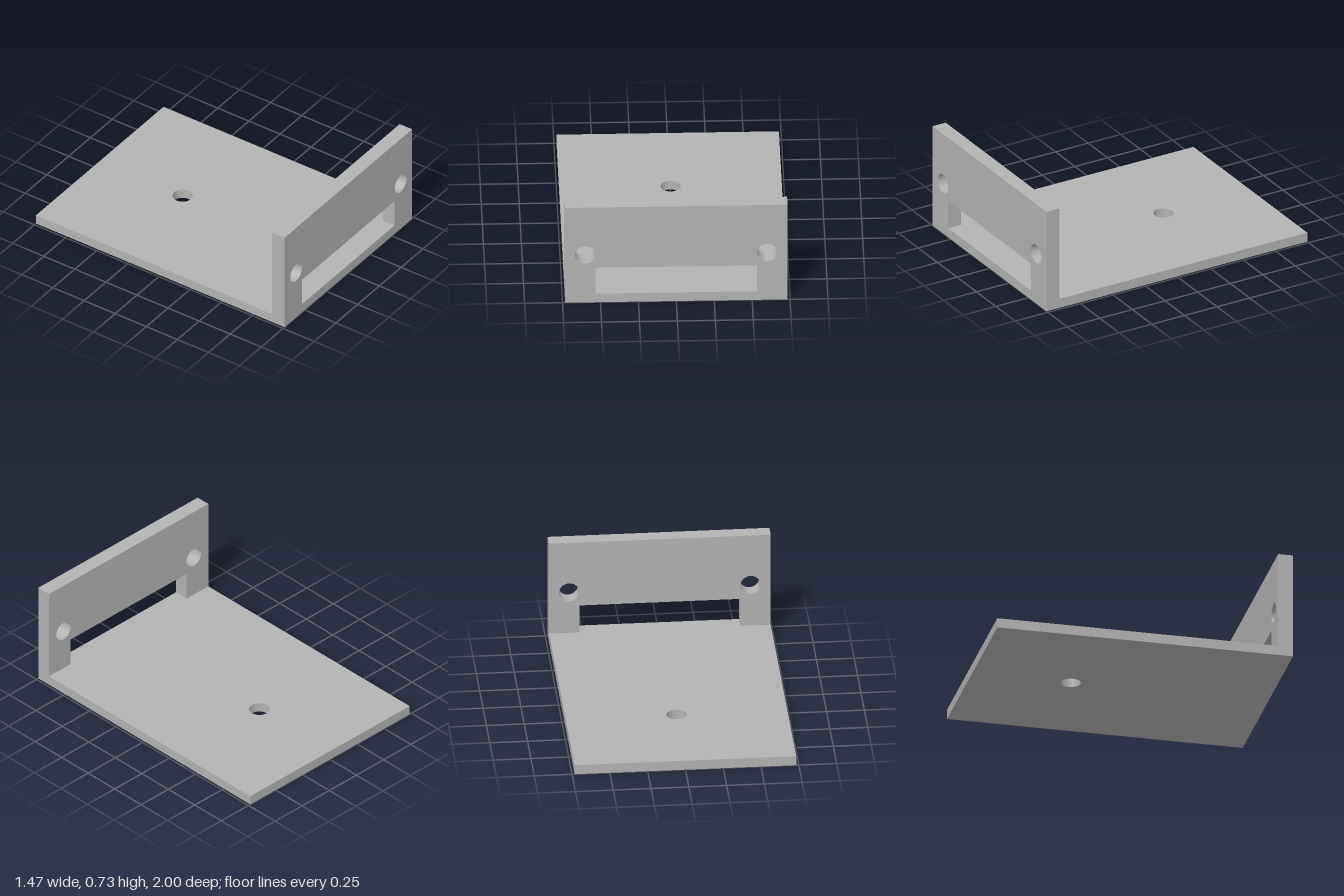
import * as THREE from 'three';
import { toCreasedNormals } from 'three/addons/utils/BufferGeometryUtils.js';

const HALF_WIDTH = 0.7333;
const HEIGHT = 0.7333;
const BASE_THICKNESS = 0.0667;
const WALL_THICKNESS = 0.1;
const HOLE_RADIUS = 0.0667;

// Rectangle outline between two corners
function rectangle(target, x0, y0, x1, y1) {
  target.moveTo(x0, y0);
  target.lineTo(x1, y0);
  target.lineTo(x1, y1);
  target.lineTo(x0, y1);
  target.closePath();
  return target;
}

function roundHole(x, y) {
  return new THREE.Path().absarc(x, y, HOLE_RADIUS, 0, Math.PI * 2, true);
}

// Flat plate with crisp edges and smooth hole walls
function plate(name, shape, depth, material) {
  const geometry = new THREE.ExtrudeGeometry(shape, { depth, bevelEnabled: false, curveSegments: 24 });
  const mesh = new THREE.Mesh(toCreasedNormals(geometry, Math.PI / 6), material);
  mesh.name = name;
  return mesh;
}

export function createModel() {
  const group = new THREE.Group();
  group.name = 'mountingBracket';
  const grey = new THREE.MeshStandardMaterial({ color: 0xb3b3b3 });
  grey.name = 'plain grey';

  // Base plate with one screw hole, laid flat (shape y becomes -z)
  const baseShape = rectangle(new THREE.Shape(), -HALF_WIDTH, WALL_THICKNESS - 1, HALF_WIDTH, 1);
  baseShape.holes.push(roundHole(0, 0.3333));
  const base = plate('basePlate', baseShape, BASE_THICKNESS, grey);
  base.rotation.x = -Math.PI / 2;
  group.add(base);

  // Upright front plate with a wide slot and two screw holes
  const wallShape = rectangle(new THREE.Shape(), -HALF_WIDTH, 0, HALF_WIDTH, HEIGHT);
  wallShape.holes.push(rectangle(new THREE.Path(), -0.5333, BASE_THICKNESS, 0.5333, 0.2667));
  for (const side of [-1, 1]) wallShape.holes.push(roundHole(side * 0.6, 0.3667));
  const wall = plate('frontPlate', wallShape, WALL_THICKNESS, grey);
  wall.position.z = 1 - WALL_THICKNESS;
  group.add(wall);

  return group;
}
